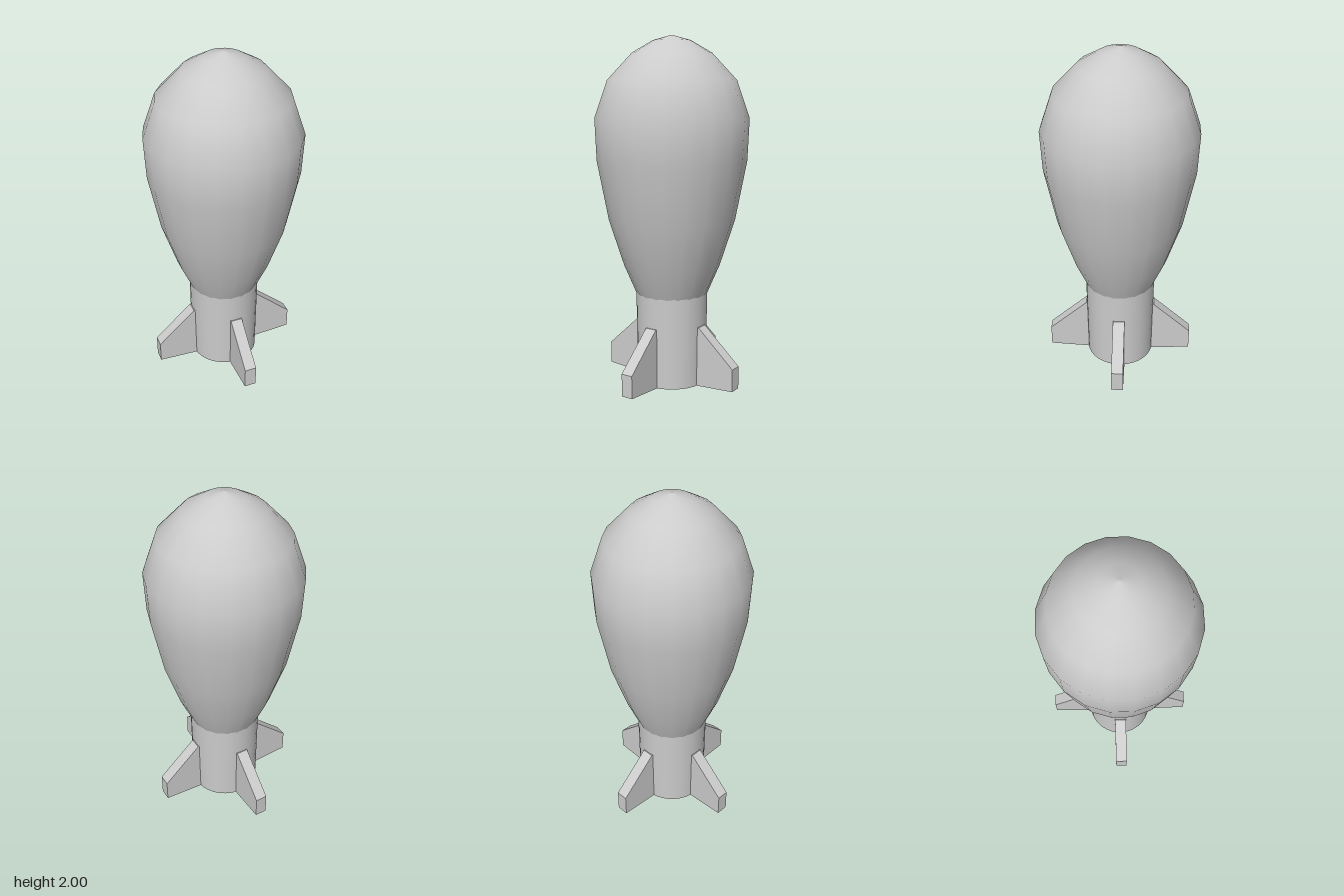
import * as THREE from 'three';

const material = new THREE.MeshStandardMaterial({ color: 0xcccccc });

function addMesh(parent, geometry, name) {
  const mesh = new THREE.Mesh(geometry, material);
  mesh.name = name;
  parent.add(mesh);
  return mesh;
}

// Profiles are [radius, height] pairs
function lathe(points, sides) {
  return new THREE.LatheGeometry(points.map(([r, y]) => new THREE.Vector2(r, y)), sides);
}

// Straight-sided ring wall made of separate lathes, so the rim edges stay sharp
function createTailTube() {
  const tube = new THREE.Group();
  tube.name = 'tailTube';
  const sides = 32;
  addMesh(tube, lathe([[0.202, 0], [0.208, 0.53]], sides), 'tubeOuterWall');
  addMesh(tube, lathe([[0.175, 0.52], [0.175, 0]], sides), 'tubeInnerWall');
  addMesh(tube, lathe([[0.175, 0], [0.202, 0]], sides), 'tubeRim');
  addMesh(tube, lathe([[0, 0.52], [0.175, 0.52]], sides), 'tubeCeiling');
  return tube;
}

// Tapered fin, drawn outward along +x and centred on its thickness
function createFinGeometry() {
  const thickness = 0.07;
  const shape = new THREE.Shape([
    [0.19, 0], [0.436, 0.015], [0.436, 0.145], [0.21, 0.35], [0.19, 0.35],
  ].map(([x, y]) => new THREE.Vector2(x, y)));
  const geometry = new THREE.ExtrudeGeometry(shape, { depth: thickness, bevelEnabled: false });
  return geometry.translate(0, 0, -thickness / 2);
}

export function createModel() {
  const model = new THREE.Group();
  model.name = 'finnedBomb';

  // Teardrop body
  addMesh(model, lathe([
    [0.208, 0.525], [0.28, 0.695], [0.365, 0.96], [0.43, 1.3], [0.44, 1.54],
    [0.367, 1.75], [0.227, 1.9], [0.107, 1.97], [0, 2],
  ], 20), 'body');

  model.add(createTailTube());

  // Four fins around the tube
  const finGeometry = createFinGeometry();
  for (let i = 0; i < 4; i++) {
    const fin = addMesh(model, finGeometry, 'fin' + (i + 1));
    fin.rotation.y = THREE.MathUtils.degToRad(-27.2 + i * 90);
  }
  return model;
}
